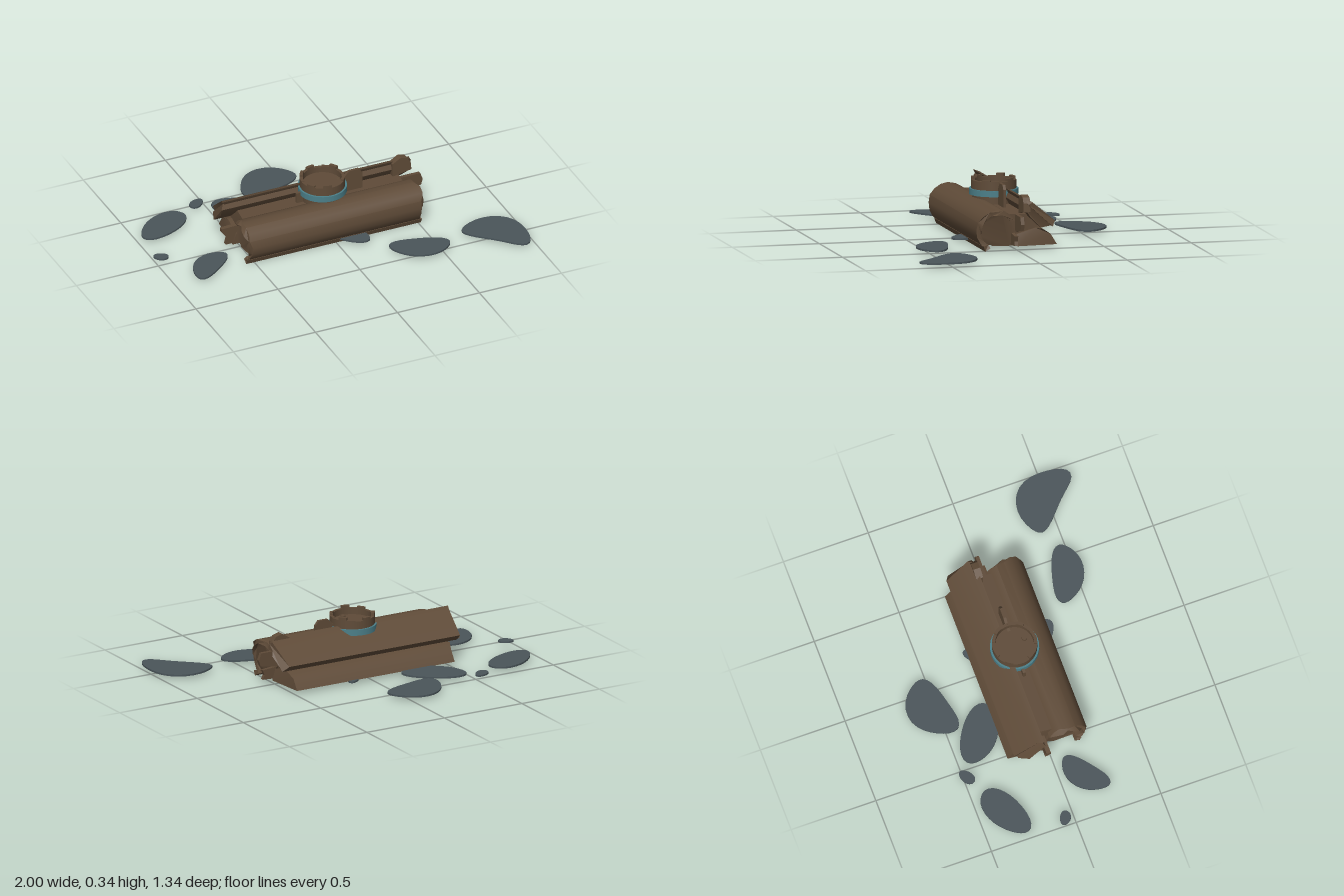
import * as THREE from 'three';
import { toCreasedNormals } from 'three/addons/utils/BufferGeometryUtils.js';

const bark = new THREE.MeshStandardMaterial({ color: 0x5f4b38 });
bark.name = 'bark brown';
const teal = new THREE.MeshStandardMaterial({ color: 0x4b7f89 });
teal.name = 'teal band';
const slate = new THREE.MeshStandardMaterial({ color: 0x4a555a });
slate.name = 'slate grey';

function add(group, name, geometry, material) {
  const mesh = new THREE.Mesh(geometry, material);
  mesh.name = name;
  group.add(mesh);
}

const polygon = (points) => new THREE.Shape(points.map(([x, y]) => new THREE.Vector2(x, y)));

// Repeatable value from -1 to 1 for a position
const ragged = (a, b, c) => Math.sin(a * 91.7 + b * 143.3 + c * 57.1);

// Extrudes a [z, y] section along x and roughens both ends
function timber(section, x0, x1, jag) {
  const geometry = new THREE.ExtrudeGeometry(polygon(section.map(([z, y]) => [-z, y])), {
    depth: x1 - x0, bevelEnabled: false,
  });
  geometry.rotateY(Math.PI / 2).translate(x0, 0, 0);
  const p = geometry.attributes.position;
  for (let i = 0; i < p.count; i++) {
    const x = p.getX(i);
    p.setX(i, x + jag * ragged(p.getZ(i), p.getY(i), x));
  }
  return toCreasedNormals(geometry, 0.6);
}

// Points on the curved front bark, from the lower lip up and over to the heart
function barkArc(radiusZ, radiusY) {
  return Array.from({ length: 11 }, (_, i) => {
    const t = -1.05 + (i / 10) * 3.7;
    return [0.115 + radiusZ * Math.cos(t), 0.115 + radiusY * Math.sin(t)];
  });
}

// Upright plate with an [x, y] outline
function plate(outline, z, thickness) {
  const geometry = new THREE.ExtrudeGeometry(polygon(outline), { depth: thickness, bevelEnabled: false });
  return geometry.translate(0, 0, z - thickness / 2);
}

// Thin flat slab: an oval bent like a kidney, with a slightly wavy edge
function puddle(x, z, length, width, angle, bend) {
  const outline = Array.from({ length: 28 }, (_, i) => {
    const t = (i / 28) * Math.PI * 2;
    const wave = 1 + 0.04 * Math.sin(3 * t + x * 9);
    const u = length * Math.cos(t) * wave;
    const v = width * Math.sin(t) * wave + bend * (Math.cos(t) ** 2 - 0.5);
    return [x + u * Math.cos(angle) - v * Math.sin(angle), z + u * Math.sin(angle) + v * Math.cos(angle)];
  });
  const geometry = new THREE.ExtrudeGeometry(polygon(outline), { depth: 0.01, bevelEnabled: false });
  return geometry.rotateX(Math.PI / 2).translate(0, 0.028, 0);
}

export function createModel() {
  const model = new THREE.Group();
  const log = new THREE.Group();
  log.name = 'splitLog';
  model.add(log);

  // Curved front bark, wrapped around a solid core
  const inner = barkArc(0.094, 0.092);
  add(log, 'frontBark', timber([...barkArc(0.118, 0.115), ...inner.slice().reverse()], -0.545, 0.515, 0.018), bark);
  add(log, 'frontLip', timber([[0.155, 0.02], [0.185, 0.002], [0.195, 0.03], [0.165, 0.04]], -0.54, 0.51, 0.01), bark);
  add(log, 'frontCore', timber([...inner, [0, 0.1], [0.04, 0.025]], -0.52, 0.5, 0.015), bark);

  // Domed rear bark
  add(log, 'rearBark', timber([[0, 0.025], [-0.232, 0.025], [-0.195, 0.085],
    [-0.15, 0.115], [-0.11, 0.122], [0, 0.09]], -0.535, 0.505, 0.012), bark);

  // Sloping upper slab with a thick lip and an inner wedge
  add(log, 'upperSlab', timber([[-0.04, 0.287], [-0.075, 0.275], [-0.21, 0.165],
    [-0.19, 0.136], [-0.05, 0.262]], -0.575, 0.545, 0.02), bark);
  add(log, 'upperWedge', timber([[-0.05, 0.27], [-0.19, 0.142], [-0.13, 0.128], [-0.065, 0.19],
    [-0.035, 0.24]], -0.59, 0.54, 0.015), bark);

  // Heart wood filling the groove and the underside
  add(log, 'heartWood', timber([[0.06, 0.2], [0.15, 0.04], [0.13, 0.024], [-0.1, 0.024],
    [-0.13, 0.128], [-0.06, 0.2]], -0.5, 0.48, 0.01), bark);

  // Thin upright spine and end splinters
  add(log, 'spine', plate([[-0.16, 0.1], [0.24, 0.1], [0.24, 0.3], [0.22, 0.325],
    [0.16, 0.325], [0.13, 0.295], [-0.16, 0.26]], 0, 0.016), bark);
  add(log, 'footSplinter', plate([[0.03, 0.03], [0.07, 0.008], [0.15, 0.008], [0.17, 0.03]], 0.01, 0.016), bark);
  add(log, 'leftSplinter', plate([[0.46, 0.1], [0.6, 0.125], [0.61, 0.16],
    [0.595, 0.2], [0.46, 0.2]], -0.005, 0.02), bark);
  add(log, 'leftLowSplinter', plate([[0.46, 0.03], [0.57, 0.035], [0.56, 0.06], [0.57, 0.09],
    [0.46, 0.1]], 0.02, 0.02), bark);
  add(log, 'leftKnot', plate([[0.44, 0.2], [0.555, 0.22], [0.55, 0.27], [0.53, 0.3],
    [0.49, 0.31], [0.44, 0.28]], -0.045, 0.04), bark);
  add(log, 'rightSplinter', plate([[-0.46, 0.03], [-0.585, 0.03], [-0.575, 0.07],
    [-0.61, 0.115], [-0.61, 0.135], [-0.46, 0.14]], -0.02, 0.025), bark);

  // Round stump with a teal band
  const stump = new THREE.Group();
  stump.name = 'stump';
  model.add(stump);
  add(stump, 'stumpBody', new THREE.CylinderGeometry(0.122, 0.12, 0.19, 32).translate(0, 0.195, 0), bark);
  add(stump, 'tealBand', new THREE.CylinderGeometry(0.137, 0.137, 0.034, 32).translate(0, 0.26, 0), teal);
  add(stump, 'stumpKnob', new THREE.CylinderGeometry(0.015, 0.015, 0.02, 12).translate(0.02, 0.295, 0.065), bark);

  // Broken rim made of arc blocks with uneven heights
  const count = 16;
  for (let i = 0; i < count; i++) {
    const a = (i / count) * Math.PI * 2;
    const b = ((i + 1) / count) * Math.PI * 2;
    const arc = new THREE.Shape();
    arc.absarc(0, 0, 0.126, a, b, false);
    arc.absarc(0, 0, 0.108, b, a, true);
    const top = 0.333 + 0.009 * ragged(i, 2, 1) - (i % 5 === 3 ? 0.012 : 0);
    const block = new THREE.ExtrudeGeometry(arc, { depth: top - 0.265, bevelEnabled: false, curveSegments: 3 });
    add(stump, 'rimBlock', block.rotateX(-Math.PI / 2).translate(0, 0.265, 0), bark);
  }

  // Flat puddles around the log: x, z, half length, half width, angle, bend
  const puddles = [
    [-0.81, -0.35, 0.17, 0.09, -0.5, 0],
    [-0.55, -0.48, 0.05, 0.032, -0.6, 0],
    [-0.33, -0.33, 0.18, 0.1, 0.6, 0],
    [-0.1, -0.525, 0.18, 0.115, -0.3, 0.04],
    [-0.96, -0.05, 0.042, 0.03, 0.5, 0],
    [-0.75, 0.14, 0.15, 0.075, -0.69, 0.02],
    [0.395, 0.445, 0.17, 0.09, 0.3, -0.02],
    [0.845, 0.485, 0.2, 0.12, 0.8, 0.07],
    [0.09, 0.17, 0.12, 0.07, 0.9, 0],
    [0.12, -0.21, 0.05, 0.03, -0.9, 0],
  ];
  puddles.forEach((values) => add(model, 'puddle', puddle(...values), slate));

  return model;
}
